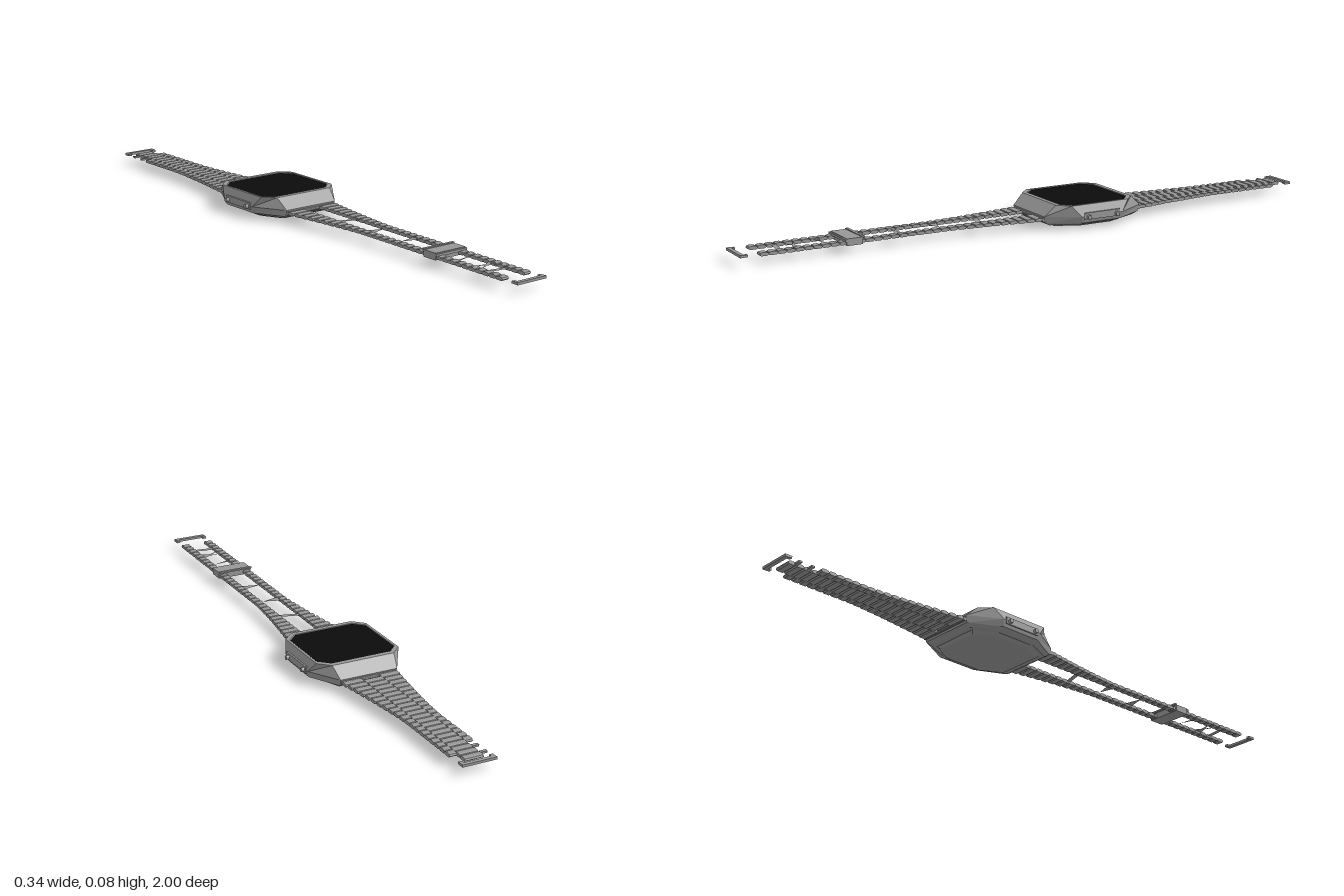
import * as THREE from 'three';

const metal = new THREE.MeshStandardMaterial({ color: 0x969696, flatShading: true });
metal.name = 'brushed steel';
const thinMetal = new THREE.MeshStandardMaterial({ color: 0x969696, flatShading: true, side: THREE.DoubleSide });
thinMetal.name = 'thin steel';
const black = new THREE.MeshStandardMaterial({ color: 0x0b0b0b, flatShading: true });
black.name = 'black glass';

const CASE_Z = -0.18;

// Chamfered rectangle: half sizes hx, hz; ends of the straight edges at ex, ez
function ring([y, hx, hz, ex, ez]) {
  return [[ex, hz], [hx, ez], [hx, -ez], [ex, -hz], [-ex, -hz], [-hx, -ez], [-hx, ez], [-ex, hz]]
    .map(([x, z]) => [x, y, z]);
}

// Skin stacked octagon rings, closing the first and last
function loft(levels) {
  const rings = levels.map(ring), pos = [];
  const tri = (a, b, c) => pos.push(...a, ...b, ...c);
  for (let i = 0; i < rings.length - 1; i++) {
    for (let j = 0; j < 8; j++) {
      const k = (j + 1) % 8;
      tri(rings[i][j], rings[i][k], rings[i + 1][k]);
      tri(rings[i][j], rings[i + 1][k], rings[i + 1][j]);
    }
  }
  const lo = rings[0], hi = rings[rings.length - 1];
  for (let j = 1; j < 7; j++) {
    tri(lo[0], lo[j + 1], lo[j]);
    tri(hi[0], hi[j], hi[j + 1]);
  }
  const g = new THREE.BufferGeometry();
  g.setAttribute('position', new THREE.Float32BufferAttribute(pos, 3));
  g.computeVertexNormals();
  return g;
}

function add(parent, name, geometry, material, x = 0, y = 0, z = 0) {
  const m = new THREE.Mesh(geometry, material);
  m.name = name;
  m.position.set(x, y, z);
  parent.add(m);
  return m;
}

// Bevelled link section, extruded one unit along x
function linkGeometry() {
  const s = new THREE.Shape([[-0.0145, -0.001], [-0.01, -0.005], [0.01, -0.005], [0.0145, -0.001],
    [0.012, 0.004], [0.006, 0.006], [-0.006, 0.006], [-0.012, 0.004]].map(([a, b]) => new THREE.Vector2(a, b)));
  const g = new THREE.ExtrudeGeometry(s, { depth: 1, bevelEnabled: false });
  g.translate(0, 0, -0.5);
  g.rotateY(Math.PI / 2);
  return g;
}

export function createModel() {
  const watch = new THREE.Group();
  watch.name = 'wristwatch';

  // Case, bezel and glass
  const head = new THREE.Group();
  head.name = 'watchHead';
  head.position.z = CASE_Z;
  watch.add(head);
  add(head, 'case', loft([
    [0.011, 0.13, 0.155, 0.09, 0.065],
    [0.02, 0.15, 0.172, 0.095, 0.07],
    [0.042, 0.157, 0.178, 0.097, 0.075],
    [0.077, 0.142, 0.14, 0.106, 0.105],
    [0.077, 0.134, 0.125, 0.101, 0.093],
    [0.073, 0.133, 0.124, 0.1, 0.092],
  ]), metal);
  add(head, 'glass', loft([
    [0.072, 0.132, 0.122, 0.1, 0.09],
    [0.0755, 0.132, 0.122, 0.1, 0.09],
  ]), black);

  // Case back with a raised centre
  add(head, 'caseBack', loft([
    [0, 0.1, 0.115, 0.065, 0.05],
    [0.003, 0.112, 0.13, 0.075, 0.06],
    [0.012, 0.124, 0.14, 0.085, 0.065],
  ]), metal);

  // Side guards, pushers and lug bars
  const pusher = new THREE.CylinderGeometry(0.007, 0.007, 0.016, 12).rotateZ(Math.PI / 2);
  for (const s of [-1, 1]) {
    add(head, 'sideGuard', new THREE.BoxGeometry(0.012, 0.022, 0.13), metal, s * 0.152, 0.042, 0);
    for (const z of [-0.052, 0.052]) add(head, 'pusher', pusher, metal, s * 0.16, 0.04, z);
    const bar = add(head, 'lugBar', new THREE.CylinderGeometry(0.006, 0.006, 0.19, 10), metal, 0, 0.031, s * 0.178);
    bar.rotation.z = Math.PI / 2;
  }

  // Strap links: distance d is measured from the case edge
  const link = linkGeometry(), pitch = 0.0285, strapY = 0.032;
  const outer = d => 0.055 + 0.04 * Math.pow(Math.max(0, 1 - d / 0.33), 1.35);
  const addLink = (parent, name, x0, x1, z) => {
    add(parent, name, link, metal, (x0 + x1) / 2, strapY, z).scale.x = x1 - x0;
  };
  const strap = (name, start, dir, leftEnd, rightEnd, centreEnd) => {
    const g = new THREE.Group();
    g.name = name;
    watch.add(g);
    for (let d = 0.012; d < 0.97; d += pitch) {
      const z = start + dir * d, w = outer(d);
      if (d < leftEnd) addLink(g, 'sideLink', 0.031, w, z);
      if (d < rightEnd) addLink(g, 'sideLink', -w, -0.031, z);
      if (d < centreEnd) addLink(g, 'centreLink', -0.0305, 0.0305, z + dir * pitch / 2);
    }
    return g;
  };
  const rear = strap('rearStrap', -0.36, -1, 0.57, 0.525, 0.61);
  const front = strap('frontStrap', 0, 1, 0.94, 0.94, 0);

  // Loose link remnants near the rear end
  for (const z of [-0.9, -0.945]) {
    add(rear, 'linkRemnant', new THREE.BoxGeometry(0.022, 0.006, 0.011), metal, -0.044, strapY, z);
  }

  // End pieces
  for (const [g, s] of [[rear, -1], [front, 1]]) {
    add(g, 'endBar', new THREE.BoxGeometry(0.112, 0.008, 0.013), metal, 0, 0.034, s * 0.9935);
    for (const x of [-0.05, 0.05]) {
      add(g, 'endTab', new THREE.BoxGeometry(0.012, 0.007, 0.012), metal, x, 0.034, s * 0.982);
    }
  }

  // Sliding clasp
  add(front, 'clasp', new THREE.BoxGeometry(0.118, 0.022, 0.052), metal, 0, 0.035, 0.634);
  add(front, 'claspLid', new THREE.BoxGeometry(0.12, 0.005, 0.01), metal, 0, 0.0465, 0.606);
  add(front, 'claspLip', new THREE.BoxGeometry(0.12, 0.008, 0.008), metal, 0, 0.04, 0.662);

  // Thin slivers bridging the open middle of the front strap
  const slivers = [
    [[-0.034, 0.168], [0.034, 0.188], [0.034, 0.204], [-0.034, 0.184]],
    [[-0.034, 0.312], [0.024, 0.331], [-0.034, 0.347]],
    [[0.034, 0.457], [-0.03, 0.471], [0.034, 0.488]],
    [[0.03, 0.713], [-0.034, 0.721], [-0.034, 0.733]],
    [[-0.034, 0.795], [0.034, 0.808], [0.034, 0.826], [0.005, 0.815]],
    [[0.034, 0.785], [0.034, 0.8], [-0.034, 0.83]],
    [[-0.034, 0.85], [0.034, 0.86], [0.034, 0.876], [-0.034, 0.866]],
  ];
  for (const pts of slivers) {
    const g = new THREE.ShapeGeometry(new THREE.Shape(pts.map(([x, z]) => new THREE.Vector2(x, -z))));
    add(front, 'sliver', g.rotateX(-Math.PI / 2), thinMetal, 0, 0.034, 0);
  }
  return watch;
}
